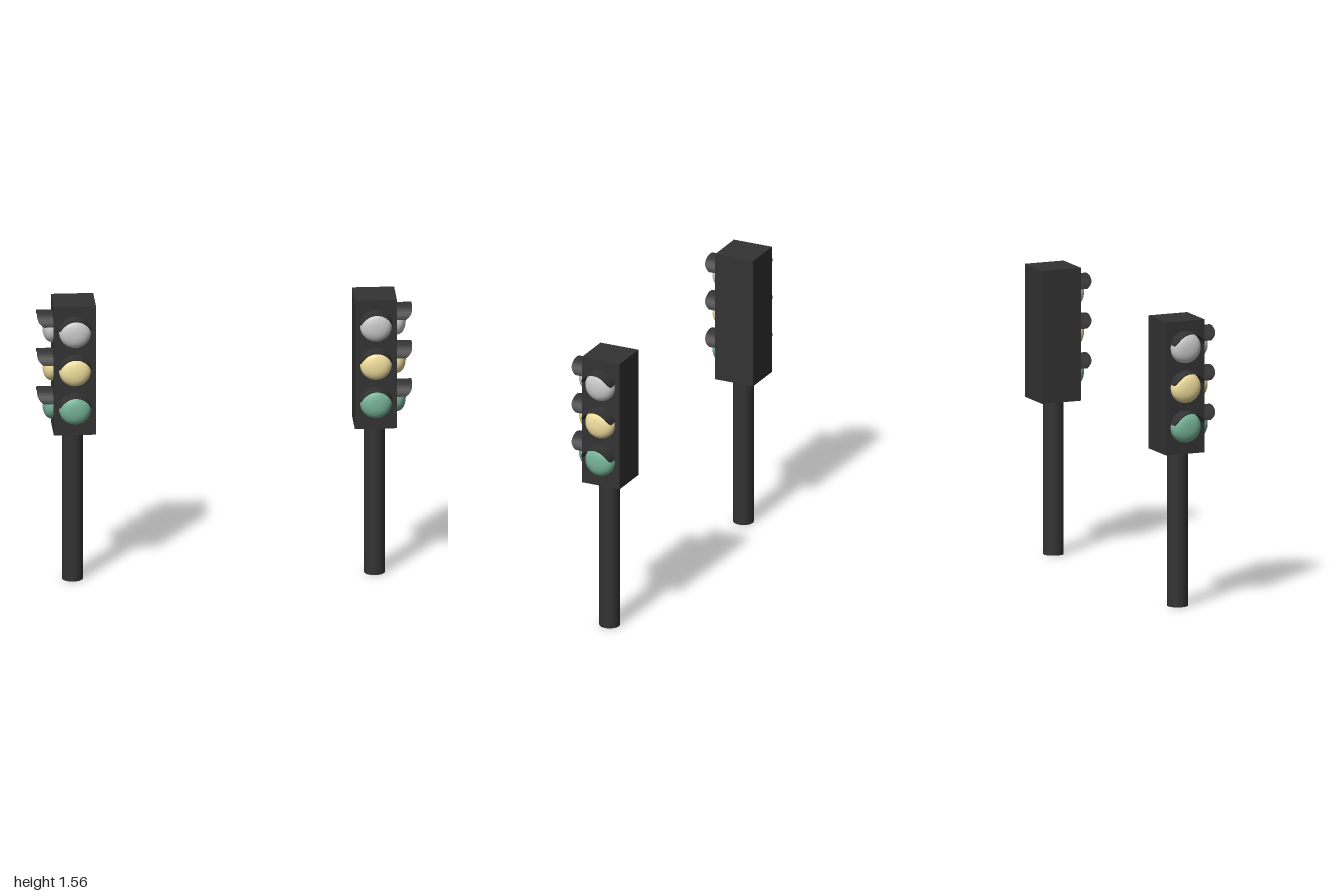
import * as THREE from 'three';
import { toCreasedNormals } from 'three/addons/utils/BufferGeometryUtils.js';
import { ParametricGeometry } from 'three/addons/geometries/ParametricGeometry.js';

const paint = (color) => new THREE.MeshStandardMaterial({ color });

function part(name, geometry, material, x = 0, y = 0, z = 0) {
  const mesh = new THREE.Mesh(geometry, material);
  mesh.name = name;
  mesh.position.set(x, y, z);
  return mesh;
}

// Full-bellied dome lens, bulging towards +z
function lensGeometry() {
  const profile = [];
  for (let i = 0; i <= 16; i++) {
    const a = (i / 16) * Math.PI / 2;
    profile.push(new THREE.Vector2(0.085 * Math.cos(a) ** 0.85, 0.054 * Math.sin(a) ** 0.85));
  }
  profile[16].x = 0;
  return new THREE.LatheGeometry(profile, 40).rotateX(Math.PI / 2);
}

// Arched hood: a thin shell over the lens whose front edge rounds back at the sides
function visorGeometry() {
  const start = 0.23, sweep = Math.PI - 2 * start;
  const shell = (u, v, target) => {
    const a = start + u * sweep;
    const k = Math.round(v * 4) % 4; // inner base, inner tip, outer tip, outer base
    const r = k < 2 ? 0.084 : 0.089;
    const h = (Math.sin(a) - Math.sin(start)) / (1 - Math.sin(start));
    const reach = 0.05 + 0.0355 * (1 - (1 - h) ** 3);
    target.set(r * Math.cos(a), r * Math.sin(a), k === 1 || k === 2 ? reach : 0);
  };
  return toCreasedNormals(new ParametricGeometry(shell, 40, 4), 0.6);
}

export function createModel() {
  const dark = paint(0x333333);
  const hoodPaint = new THREE.MeshStandardMaterial({ color: 0x333333, side: THREE.DoubleSide });
  const lamps = [
    ['topLamp', 1.417, paint(0xcccccc)],
    ['middleLamp', 1.202, paint(0xf5e2a0)],
    ['bottomLamp', 0.987, paint(0x78b498)],
  ];
  const lens = lensGeometry();
  lens.computeBoundingBox();
  const visor = visorGeometry();
  const half = 0.1125;

  // Three hooded lamps on one face of the housing
  function lampFace(name, angle) {
    const face = new THREE.Group();
    face.name = name;
    face.rotation.y = angle;
    for (const [lampName, y, material] of lamps) {
      const lamp = new THREE.Group();
      lamp.name = lampName;
      lamp.position.set(0, y, half);
      const dome = part('lens', lens, material);
      dome.material.side = THREE.DoubleSide;
      lamp.add(dome, part('visor', visor, hoodPaint));
      face.add(lamp);
    }
    return face;
  }

  // One signal post with lamps on the front and on its outer side
  function signal(name, side, x, poleShift) {
    const post = new THREE.Group();
    post.name = name;
    post.position.set(x, 0, -0.041);
    post.add(
      part('pole', new THREE.CylinderGeometry(0.055, 0.055, 0.85, 40), dark, poleShift, 0.425, 0.003),
      part('housing', new THREE.BoxGeometry(2 * half, 0.72, 2 * half), dark, 0, 1.2, 0),
      lampFace('frontLamps', 0),
      lampFace('sideLamps', side * Math.PI / 2),
    );
    return post;
  }

  const model = new THREE.Group();
  model.name = 'trafficLights';
  model.add(signal('leftSignal', 1, 0.802, 0), signal('rightSignal', -1, -0.802, -0.006));
  return model;
}
